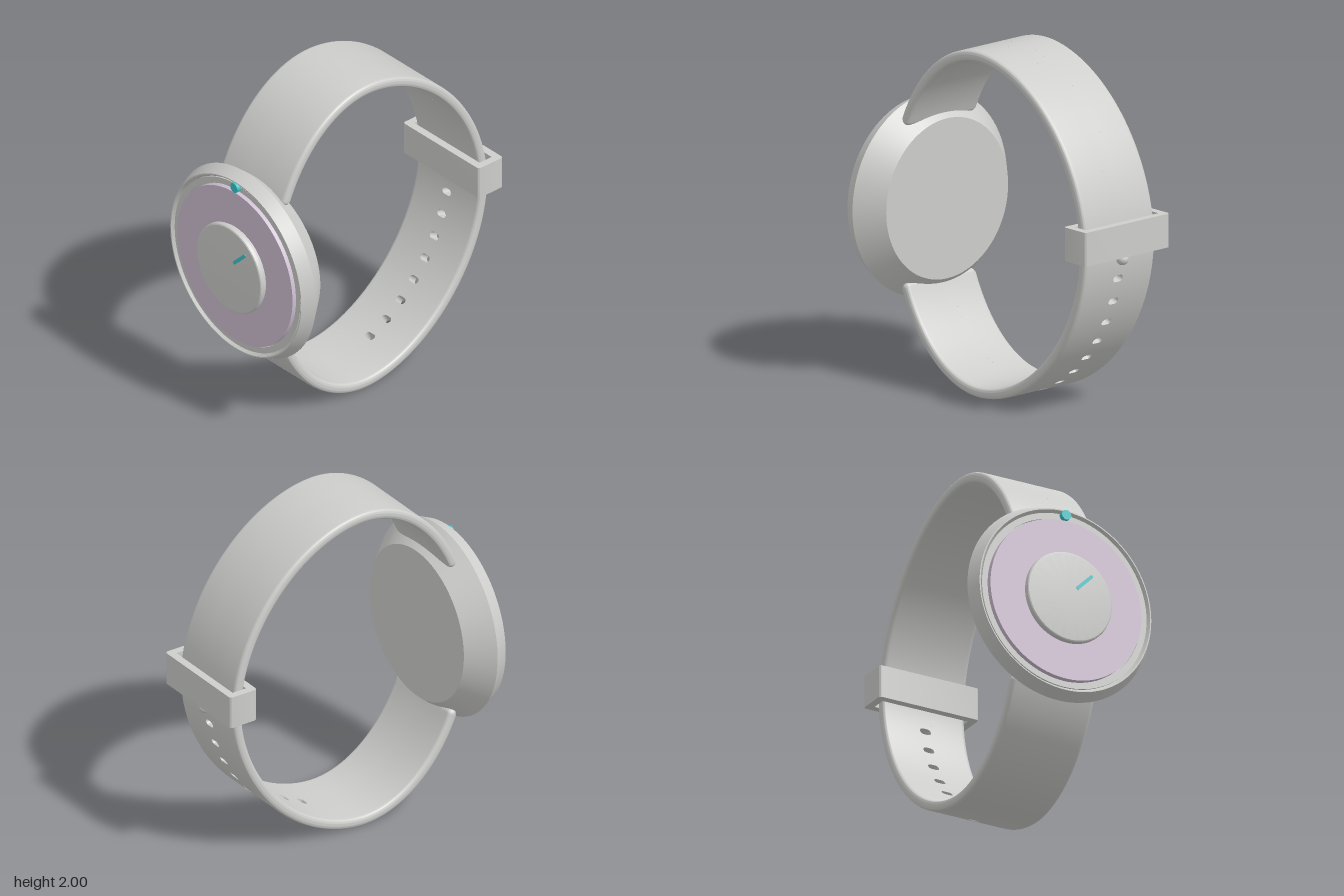
import * as THREE from 'three';
import { toCreasedNormals } from 'three/addons/utils/BufferGeometryUtils.js';

const grey = new THREE.MeshStandardMaterial({ name: 'lightGrey', color: 0xcdcdcb });
const lilac = new THREE.MeshStandardMaterial({ name: 'lilac', color: 0xcfc0d3 });
const teal = new THREE.MeshStandardMaterial({ name: 'teal', color: 0x3cc6ca });

const HALF_W = 0.265, T = 0.06, CORE = 0.045;

function part(name, geometry, material, parent) {
  const mesh = new THREE.Mesh(geometry, material);
  mesh.name = name;
  parent.add(mesh);
  return mesh;
}

// Centreline of the strap: round at the front, slightly flatter towards the back
function strapCurve() {
  const pts = [];
  for (let i = 0; i <= 120; i++) {
    const a = THREE.MathUtils.degToRad(30 + (300 * i) / 120);
    const c = Math.cos(a), s = Math.sin(a);
    const e = c > 0 ? 1 : 2 / 1.86;
    const y = Math.sign(s) * Math.abs(s) ** e * 0.97;
    const z = Math.sign(c) * Math.abs(c) ** e * (c > 0 ? 0.697 : 0.865);
    pts.push(new THREE.Vector3(0, 1 + y, 0.07 + z));
  }
  const curve = new THREE.CatmullRomCurve3(pts);
  curve.arcLengthDivisions = 1000;
  return curve;
}

// Bend a flat piece (x = width, y = length, z = thickness) along the curve
function bend(geo, curve, length) {
  const pos = geo.attributes.position, nor = geo.attributes.normal;
  for (let i = 0; i < pos.count; i++) {
    const u = THREE.MathUtils.clamp(pos.getY(i) / length, 0, 1);
    const p = curve.getPointAt(u), t = curve.getTangentAt(u);
    const h = pos.getZ(i), ny = nor.getY(i), nz = nor.getZ(i);
    pos.setXYZ(i, pos.getX(i), p.y - t.z * h, p.z + t.y * h);
    nor.setXYZ(i, nor.getX(i), t.y * ny - t.z * nz, t.z * ny + t.y * nz);
  }
  return geo;
}

// Side rail of the strap with rounded outer edges
function rail(side, length) {
  const r = 0.025, h = T / 2, s = new THREE.Shape();
  s.moveTo(side * CORE, -h);
  s.lineTo(side * (HALF_W - r), -h);
  s.quadraticCurveTo(side * HALF_W, -h, side * HALF_W, -h + r);
  s.lineTo(side * HALF_W, h - r);
  s.quadraticCurveTo(side * HALF_W, h, side * (HALF_W - r), h);
  s.lineTo(side * CORE, h);
  const geo = new THREE.ExtrudeGeometry(s, { depth: length, steps: 140, bevelEnabled: false, curveSegments: 6 });
  return toCreasedNormals(geo.rotateX(Math.PI / 2).translate(0, length, 0), 0.6);
}

function capsuleOutline(target, half, r, cy = 0) {
  target.absarc(half, cy, r, -Math.PI / 2, Math.PI / 2, false);
  target.absarc(-half, cy, r, Math.PI / 2, Math.PI * 1.5, false);
  return target;
}

// One length of the strap's middle, pierced by a slot
function slotCell(s0, len) {
  const outline = [], n = 6;
  for (let i = 0; i <= n; i++) outline.push(new THREE.Vector2(CORE, s0 + (len * i) / n));
  for (let i = n; i >= 0; i--) outline.push(new THREE.Vector2(-CORE, s0 + (len * i) / n));
  const shape = new THREE.Shape(outline);
  shape.holes.push(capsuleOutline(new THREE.Path(), 0.015, 0.02, s0 + len / 2));
  return new THREE.ExtrudeGeometry(shape, { depth: T, bevelEnabled: false, curveSegments: 8 }).translate(0, 0, -T / 2);
}

function plainCore(s0, s1) {
  return new THREE.BoxGeometry(CORE * 2, s1 - s0, T, 1, 70, 1).translate(0, (s0 + s1) / 2, 0);
}

// Turned part facing +z; profile is [radius, z] from back to front
function turned(profile) {
  const geo = new THREE.LatheGeometry(profile.map(([r, z]) => new THREE.Vector2(r, z)), 96);
  return toCreasedNormals(geo.rotateX(Math.PI / 2), 0.35).translate(0, 1.003, 0);
}

function roundedRect(w, h, r) {
  const s = new THREE.Shape(), x = w / 2, y = h / 2;
  s.absarc(x - r, y - r, r, 0, Math.PI / 2);
  s.absarc(-x + r, y - r, r, Math.PI / 2, Math.PI);
  s.absarc(-x + r, -y + r, r, Math.PI, Math.PI * 1.5);
  s.absarc(x - r, -y + r, r, Math.PI * 1.5, Math.PI * 2);
  return s;
}

export function createModel() {
  const model = new THREE.Group();
  model.name = 'wristwatch';

  // Strap
  const strap = new THREE.Group();
  strap.name = 'strap';
  model.add(strap);
  const curve = strapCurve(), length = curve.getLength();
  for (const side of [-1, 1]) {
    part(side > 0 ? 'strapRailLeft' : 'strapRailRight', bend(rail(side, length), curve, length), grey, strap);
  }
  const cell = 0.14, count = 8, first = length / 2 + 0.18 - cell / 2, last = first + cell * count;
  part('strapCoreUpper', bend(plainCore(0, first), curve, length), grey, strap);
  part('strapCoreLower', bend(plainCore(last, length), curve, length), grey, strap);
  for (let i = 0; i < count; i++) {
    part('strapSlot', bend(slotCell(first + i * cell, cell), curve, length), grey, strap);
  }
  for (const u of [0, 1]) {
    const end = part('strapEnd', new THREE.CapsuleGeometry(T / 2, HALF_W * 2 - T, 8, 16), grey, strap);
    end.rotation.z = Math.PI / 2;
    end.position.copy(curve.getPointAt(u));
  }

  // Clasp loop and its pin
  const loop = roundedRect(0.64, 0.182, 0.018);
  const hole = new THREE.Path();
  hole.moveTo(-0.275, -0.045);
  hole.lineTo(-0.275, 0.045);
  hole.lineTo(0.275, 0.045);
  hole.lineTo(0.275, -0.045);
  hole.closePath();
  loop.holes.push(hole);
  const loopGeo = new THREE.ExtrudeGeometry(loop, { depth: 0.195, bevelEnabled: false, curveSegments: 6 });
  const clasp = part('claspLoop', toCreasedNormals(loopGeo.rotateX(-Math.PI / 2), 0.5), grey, model);
  clasp.position.set(0, 0.955, -0.793);
  const pin = part('claspPin', new THREE.SphereGeometry(0.035, 24, 16), grey, model);
  pin.position.set(0, 0.935, -0.84);

  // Case with a recessed front ring
  part('case', turned([
    [0, 0.606], [0.463, 0.606], [0.587, 0.75], [0.553, 0.828], [0.546, 0.828],
    [0.53, 0.805], [0.53, 0.815], [0.494, 0.815], [0.494, 0.8], [0, 0.8],
  ]), grey, model);

  // Dial and raised centre disc
  part('dial', turned([[0, 0.79], [0.486, 0.79], [0.486, 0.834], [0, 0.834]]), lilac, model);
  part('centreDisc', turned([
    [0, 0.83], [0.262, 0.83], [0.262, 0.842], [0.27, 0.845], [0.274, 0.853], [0.274, 0.868],
    [0.271, 0.877], [0.265, 0.881], [0.257, 0.882], [0, 0.882],
  ]), grey, model);

  // Teal pointer and marker
  const pointerGeo = new THREE.ExtrudeGeometry(capsuleOutline(new THREE.Shape(), 0.061, 0.01), { depth: 0.006, bevelEnabled: false });
  const pointer = part('pointer', pointerGeo, teal, model);
  pointer.rotation.z = Math.PI / 4;
  pointer.position.set(0.093, 1.112, 0.879);
  const marker = part('topMarker', new THREE.CylinderGeometry(0.03, 0.03, 0.04, 32), teal, model);
  marker.rotation.x = Math.PI / 2;
  marker.position.set(0, 1.524, 0.822);

  return model;
}
